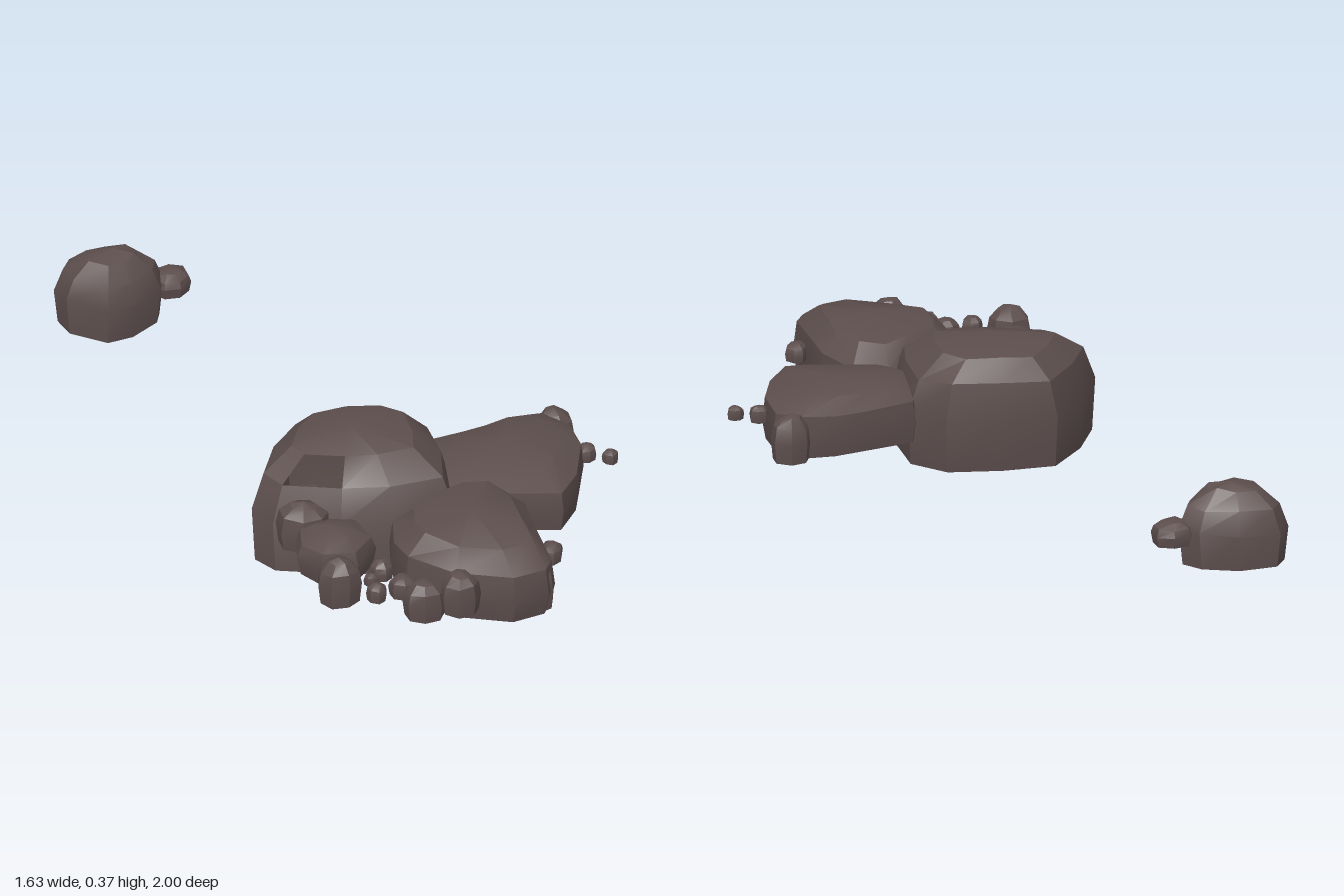
import * as THREE from 'three';
import { toCreasedNormals } from 'three/addons/utils/BufferGeometryUtils.js';

const stone = new THREE.MeshStandardMaterial({ color: 0x5c4e4d, side: THREE.DoubleSide });
stone.name = 'dark stone';

// Repeatable wobble in the range -1..1
const wobble = (n) => { const s = Math.sin(n * 127.1 + 11.7) * 43758.5453; return 2 * (s - Math.floor(s)) - 1; };

// Open-bottomed rock: an outline [x, z] lofted through rings [y, scale, dz], closed by a crown point.
// gap = [ring, side] leaves one face out.
function rock(name, outline, rings, crown, rough = 0.008, gap = null) {
  const n = outline.length;
  const xs = outline.map((p) => p[0]), zs = outline.map((p) => p[1]);
  const cx = (Math.min(...xs) + Math.max(...xs)) / 2, cz = (Math.min(...zs) + Math.max(...zs)) / 2;
  const pos = [], idx = [];
  rings.forEach(([y, s, dz = 0], r) => outline.forEach(([x, z], i) => {
    const j = r ? rough * wobble(i * 7 + r * 31 + cx * 10) : 0;
    pos.push(cx + (x - cx) * s, y + j, cz + (z - cz) * s + dz);
  }));
  pos.push(...crown);
  const last = rings.length - 1, tip = rings.length * n;
  for (let i = 0; i < n; i++) {
    const k = (i + 1) % n;
    for (let r = 0; r < last; r++) {
      if (gap && gap[0] === r && gap[1] === i) continue;
      const a = r * n + i, b = r * n + k, c = a + n, d = b + n;
      idx.push(a, c, b, b, c, d);
    }
    idx.push(last * n + i, tip, last * n + k);
  }
  const g = new THREE.BufferGeometry();
  g.setAttribute('position', new THREE.Float32BufferAttribute(pos, 3));
  g.setIndex(idx);
  const mesh = new THREE.Mesh(toCreasedNormals(g, 0.5), stone);
  mesh.name = name;
  return mesh;
}

// Small boulder with a seven-sided, uneven outline
function pebble(name, x, z, rx, rz, y0, y1, seed) {
  const outline = [];
  for (let i = 0; i < 7; i++) {
    const a = (i / 7) * Math.PI * 2 + seed, q = 1 + 0.1 * wobble(seed * 5 + i);
    outline.push([x + Math.cos(a) * rx * q, z + Math.sin(a) * rz * q]);
  }
  const h = y1 - y0;
  return rock(name, outline, [[y0, 0.9], [y0 + h * 0.4, 1], [y0 + h * 0.72, 0.88], [y0 + h * 0.92, 0.5]],
    [x, y1, z], h * 0.04);
}

export function createModel() {
  const model = new THREE.Group();
  model.name = 'rockCluster';

  // Large boulders
  model.add(rock('tallBoulder',
    [[-0.28, 0.42], [-0.24, 0.25], [-0.16, 0.09], [0, 0.05], [0.17, 0.04], [0.28, 0.12],
      [0.32, 0.3], [0.32, 0.46], [0.14, 0.52], [-0.02, 0.52], [-0.22, 0.49]],
    [[0.01, 0.97, 0.015], [0.17, 1], [0.28, 0.88, -0.01], [0.345, 0.6, -0.02]],
    [0.01, 0.375, 0.27], 0.008, [2, 9]));

  model.add(rock('backBoulder',
    [[0.22, 0.32], [0.26, 0.1], [0.4, 0.03], [0.5, -0.02], [0.6, -0.04], [0.68, 0.02],
      [0.71, 0.15], [0.69, 0.32], [0.64, 0.44], [0.34, 0.43]],
    [[0.09, 0.96], [0.15, 1], [0.215, 0.97], [0.25, 0.68]],
    [0.48, 0.268, 0.2]));

  model.add(rock('frontBoulder',
    [[0.12, 0.58], [0.22, 0.47], [0.33, 0.37], [0.44, 0.38], [0.53, 0.5], [0.56, 0.65],
      [0.6, 0.83], [0.58, 0.89], [0.48, 0.94], [0.3, 0.9], [0.16, 0.8], [0.12, 0.7]],
    [[0.065, 0.94], [0.14, 1], [0.22, 0.96], [0.275, 0.7]],
    [0.36, 0.305, 0.66]));

  // Detached boulder at the back
  model.add(rock('farBoulder',
    [[-0.815, -0.89], [-0.79, -0.96], [-0.67, -1], [-0.55, -0.98], [-0.49, -0.93],
      [-0.5, -0.87], [-0.58, -0.78], [-0.66, -0.745], [-0.78, -0.81]],
    [[0.068, 0.93], [0.18, 1], [0.25, 0.84], [0.3, 0.48]],
    [-0.64, 0.315, -0.89]));

  // Small stones: x, z, half width, half depth, bottom, top
  const stones = [
    [-0.47, -0.935, 0.06, 0.065, 0.14, 0.215],
    [0.63, -0.035, 0.058, 0.058, 0.09, 0.235],
    [0.72, 0.125, 0.03, 0.034, 0.155, 0.205],
    [0.79, 0.145, 0.025, 0.025, 0.155, 0.197],
    [0.595, 0.69, 0.035, 0.045, 0.145, 0.2],
    [0.55, 0.83, 0.055, 0.065, 0.075, 0.23],
    [-0.13, 0.51, 0.085, 0.075, 0.11, 0.25],
    [-0.1, 0.44, 0.06, 0.06, 0.13, 0.26],
    [-0.055, 0.65, 0.122, 0.125, 0.11, 0.25],
    [-0.04, 0.85, 0.068, 0.065, 0.11, 0.255],
    [0.055, 0.835, 0.022, 0.022, 0.155, 0.19],
    [0.09, 0.77, 0.04, 0.038, 0.14, 0.2],
    [0.07, 0.91, 0.034, 0.034, 0.145, 0.2],
    [0.15, 0.875, 0.045, 0.045, 0.14, 0.205],
    [0.21, 0.915, 0.065, 0.062, 0.09, 0.21],
    [0.315, 0.935, 0.06, 0.06, 0.12, 0.25],
  ];
  stones.forEach((s, i) => model.add(pebble('smallStone' + (i + 1), ...s, i + 1)));
  return model;
}
